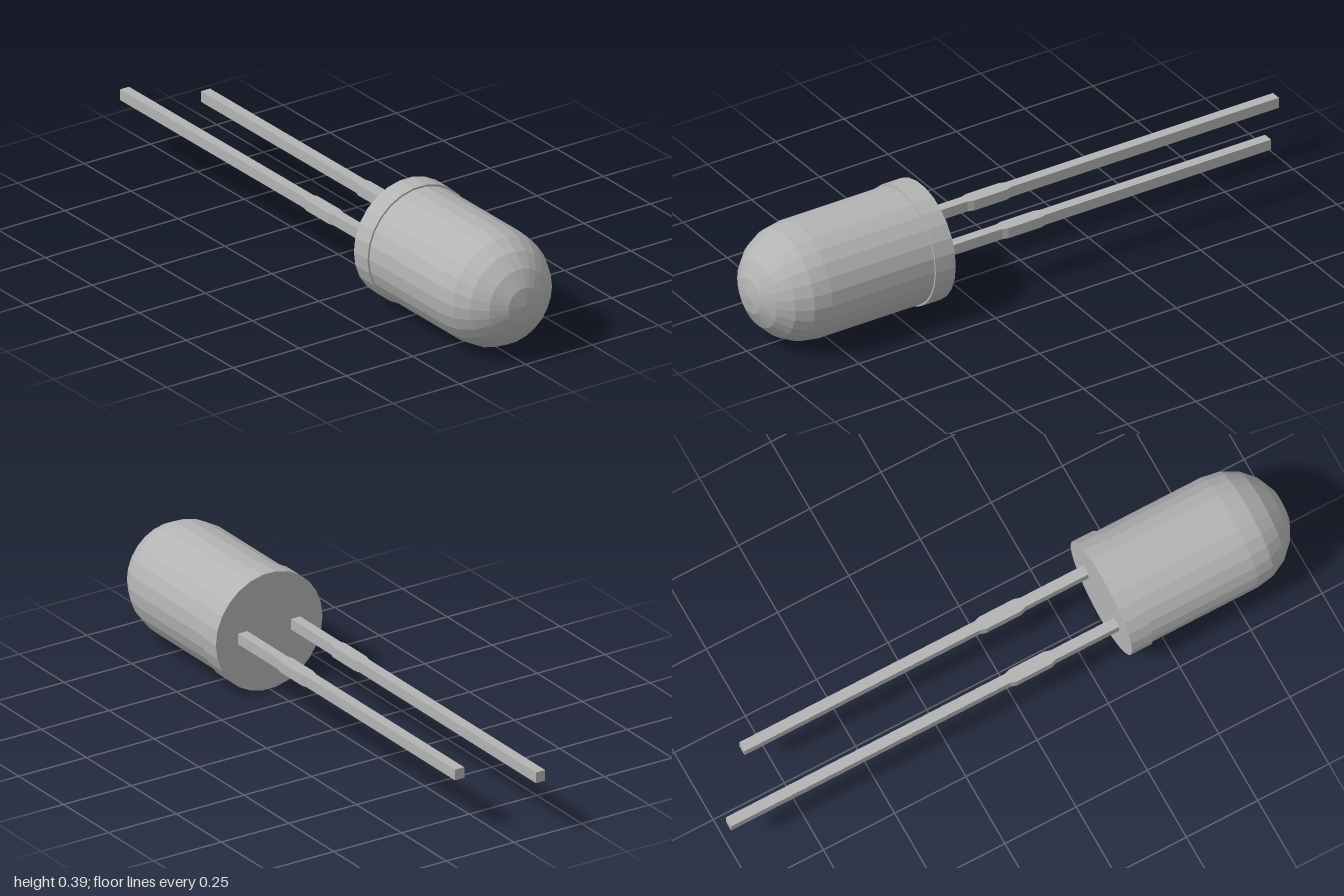
import * as THREE from 'three';

const grey = new THREE.MeshStandardMaterial({ color: 0xb4b4b4 });
grey.name = 'grey';

const SIDES = 26;
const CENTRE_Y = 0.196;

// Flat-faced mesh
function addPart(group, name, geometry) {
  const flat = geometry.index ? geometry.toNonIndexed() : geometry;
  flat.computeVertexNormals();
  const mesh = new THREE.Mesh(flat, grey);
  mesh.name = name;
  group.add(mesh);
  return mesh;
}

// Profile of [radius, z] pairs turned about the z axis, with corners on +x and -x
function turned(profile) {
  const points = profile.map(([r, z]) => new THREE.Vector2(r, z));
  return new THREE.LatheGeometry(points, SIDES, Math.PI / 2).rotateX(Math.PI / 2);
}

// Square wire from the bulb base back to zEnd, with a wider stop along it
function leg(zEnd) {
  const w = 0.017, wide = 0.023, thick = 0.036;
  const side = [[w, zEnd], [w, -0.02], [wide, 0.0 - 0.01 + 0.01], [wide, 0.12], [w, 0.14], [w, 0.365]];
  const outline = [...side, ...side.slice().reverse().map(([x, z]) => [-x, z])];
  const shape = new THREE.Shape(outline.map(([x, z]) => new THREE.Vector2(x, -z)));
  return new THREE.ExtrudeGeometry(shape, { depth: thick, bevelEnabled: false })
    .rotateX(-Math.PI / 2)
    .translate(0, -thick / 2, 0);
}

export function createModel() {
  const model = new THREE.Group();
  model.name = 'lightEmittingDiode';

  // Rounded lens: straight barrel and a five-ring dome
  const radius = 0.191, domeZ = 0.809, rings = 5;
  const lens = [[radius, 0.43]];
  for (let i = 0; i <= rings; i++) {
    const a = (i / rings) * Math.PI / 2;
    lens.push([i === rings ? 0 : radius * Math.cos(a), domeZ + radius * Math.sin(a)]);
  }
  addPart(model, 'lens', turned(lens)).position.y = CENTRE_Y;

  // Flange with closed back
  const flange = turned([[0, 0.362], [0.197, 0.362], [0.197, 0.435], [0.19, 0.435]]);
  addPart(model, 'flange', flange).position.y = CENTRE_Y;

  // Long and short legs
  addPart(model, 'longLeg', leg(-1)).position.set(-0.098, CENTRE_Y + 0.002, 0);
  addPart(model, 'shortLeg', leg(-0.845)).position.set(0.098, CENTRE_Y + 0.002, 0);

  return model;
}
